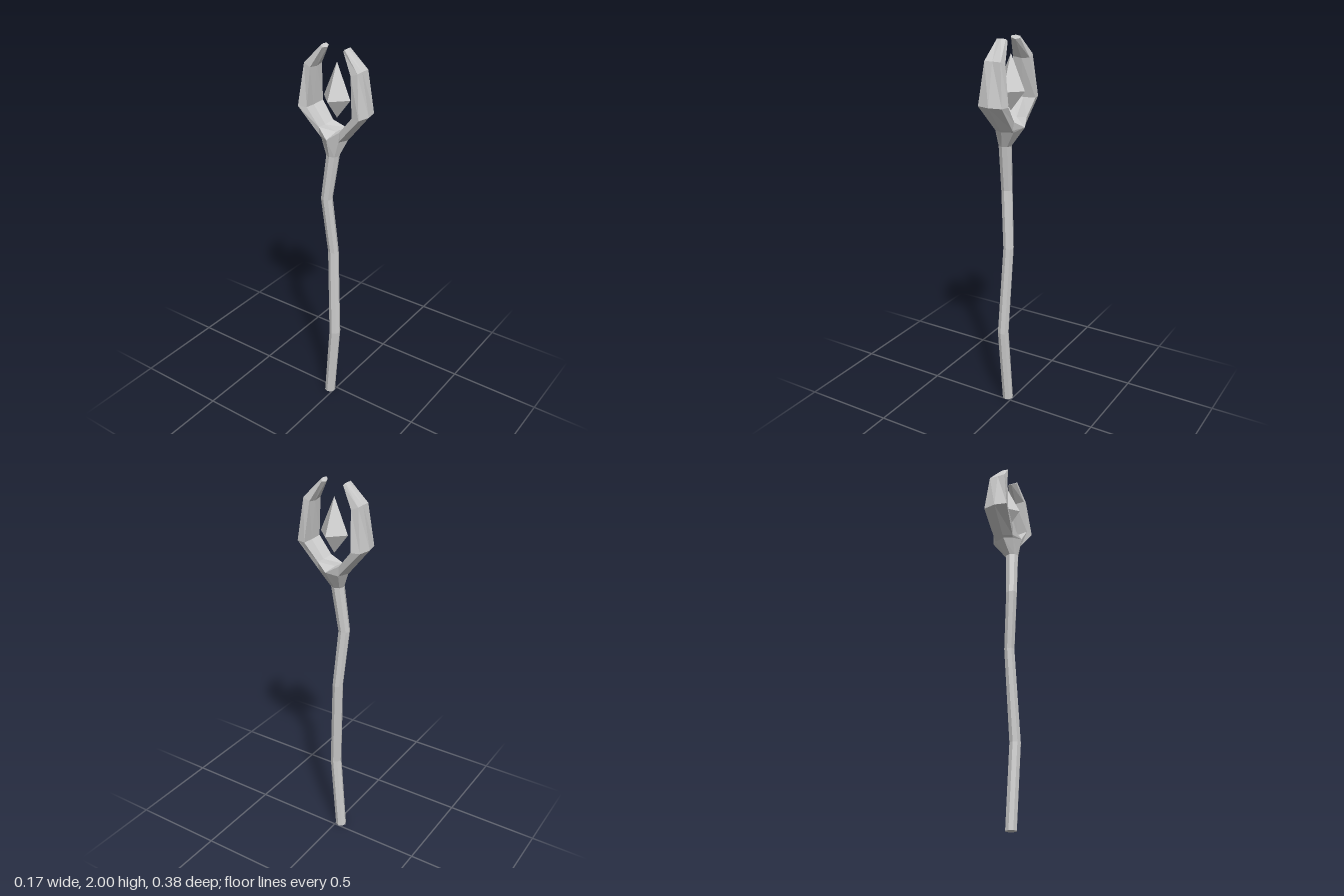
import * as THREE from 'three';

const material = new THREE.MeshStandardMaterial({ color: 0xcccccc, flatShading: true });

// Skin a list of rings (arrays of [x, y, z], running x -> z -> -x) from bottom to top.
function loft(name, rings, capStart, capEnd) {
  const pos = [];
  const tri = (a, b, c) => pos.push(...a, ...b, ...c);
  const n = rings[0].length;
  for (let i = 0; i < rings.length - 1; i++) {
    for (let j = 0; j < n; j++) {
      const k = (j + 1) % n;
      const [a, b, c, d] = [rings[i][j], rings[i][k], rings[i + 1][k], rings[i + 1][j]];
      tri(a, d, c);
      tri(a, c, b);
    }
  }
  const first = rings[0], last = rings[rings.length - 1];
  for (let j = 1; j < n - 1; j++) {
    if (capStart) tri(first[0], first[j], first[j + 1]);
    if (capEnd) tri(last[0], last[j + 1], last[j]);
  }
  const geometry = new THREE.BufferGeometry();
  geometry.setAttribute('position', new THREE.Float32BufferAttribute(pos, 3));
  geometry.computeVertexNormals();
  const mesh = new THREE.Mesh(geometry, material);
  mesh.name = name;
  return mesh;
}

// Level octagon around a point of the crooked shaft.
function octagon(x, y, z, r) {
  return Array.from({ length: 8 }, (_, i) => {
    const a = (i * Math.PI) / 4;
    return [x + r * Math.cos(a), y, z + r * Math.sin(a)];
  });
}

// Six-sided claw section: outer ridge, outer corners, inner corners, inner ridge.
// Each pair of corners is [left x, right x, y, z]; ridges are [y, z].
function clawRing(ridge, outer, inner, innerRidge) {
  return [
    [-0.008, ...ridge],
    [outer[0], outer[2], outer[3]],
    [inner[0], inner[2], inner[3]],
    [-0.002, ...innerRidge],
    [inner[1], inner[2], inner[3]],
    [outer[1], outer[2], outer[3]],
  ];
}

export function createModel() {
  const group = new THREE.Group();
  group.name = 'staff';

  // Crooked shaft
  const neckStart = octagon(-0.028, 1.47, 0, 0.034);
  group.add(loft('shaft', [
    octagon(-0.029, 0, -0.024, 0.029),
    octagon(-0.035, 0.43, 0.014, 0.03),
    octagon(-0.015, 0.92, -0.009, 0.028),
    octagon(-0.038, 1.23, -0.032, 0.03),
    neckStart,
  ], true, false));

  // Flared neck joining shaft and claws
  const neckEnd = [
    [0.083, 1.575, 0], [0.048, 1.555, 0.05], [-0.008, 1.555, 0.072], [-0.055, 1.555, 0.05],
    [-0.085, 1.565, 0], [-0.055, 1.555, -0.05], [-0.008, 1.555, -0.072], [0.048, 1.555, -0.05],
  ];
  group.add(loft('neck', [neckStart, neckEnd], false, false));

  // Pair of claws, mirrored front to back and meeting in a saddle
  const claw = [
    [neckEnd[2], neckEnd[3], neckEnd[4], [-0.002, 1.58, 0], neckEnd[0], neckEnd[1]],
    clawRing([1.565, 0.081], [-0.057, 0.049, 1.567, 0.06], [-0.061, 0.058, 1.61, 0.06], [1.603, 0.065]),
    clawRing([1.695, 0.188], [-0.073, 0.058, 1.695, 0.174], [-0.063, 0.068, 1.695, 0.129], [1.69, 0.133]),
    clawRing([1.905, 0.148], [-0.05, 0.038, 1.905, 0.15], [-0.052, 0.042, 1.89, 0.114], [1.885, 0.11]),
    clawRing([2, 0.069], [-0.032, 0.016, 1.998, 0.066], [-0.03, 0.021, 1.988, 0.058], [1.983, 0.05]),
  ];
  const mirrored = claw.map((ring) => ring.map(([x, y, z]) => [x, y, -z]).reverse());
  group.add(loft('frontClaw', claw, false, true));
  group.add(loft('backClaw', mirrored, false, true));

  // Floating four-sided crystal, longer above its waist
  const crystal = new THREE.Mesh(new THREE.OctahedronGeometry(1), material);
  const p = crystal.geometry.attributes.position;
  for (let i = 0; i < p.count; i++) {
    const y = p.getY(i);
    p.setXYZ(i, p.getX(i) * 0.078, y * (y > 0 ? 0.175 : 0.1), p.getZ(i) * 0.076);
  }
  crystal.geometry.computeVertexNormals();
  crystal.position.set(0.004, 1.75, 0);
  crystal.name = 'crystal';
  group.add(crystal);

  return group;
}
